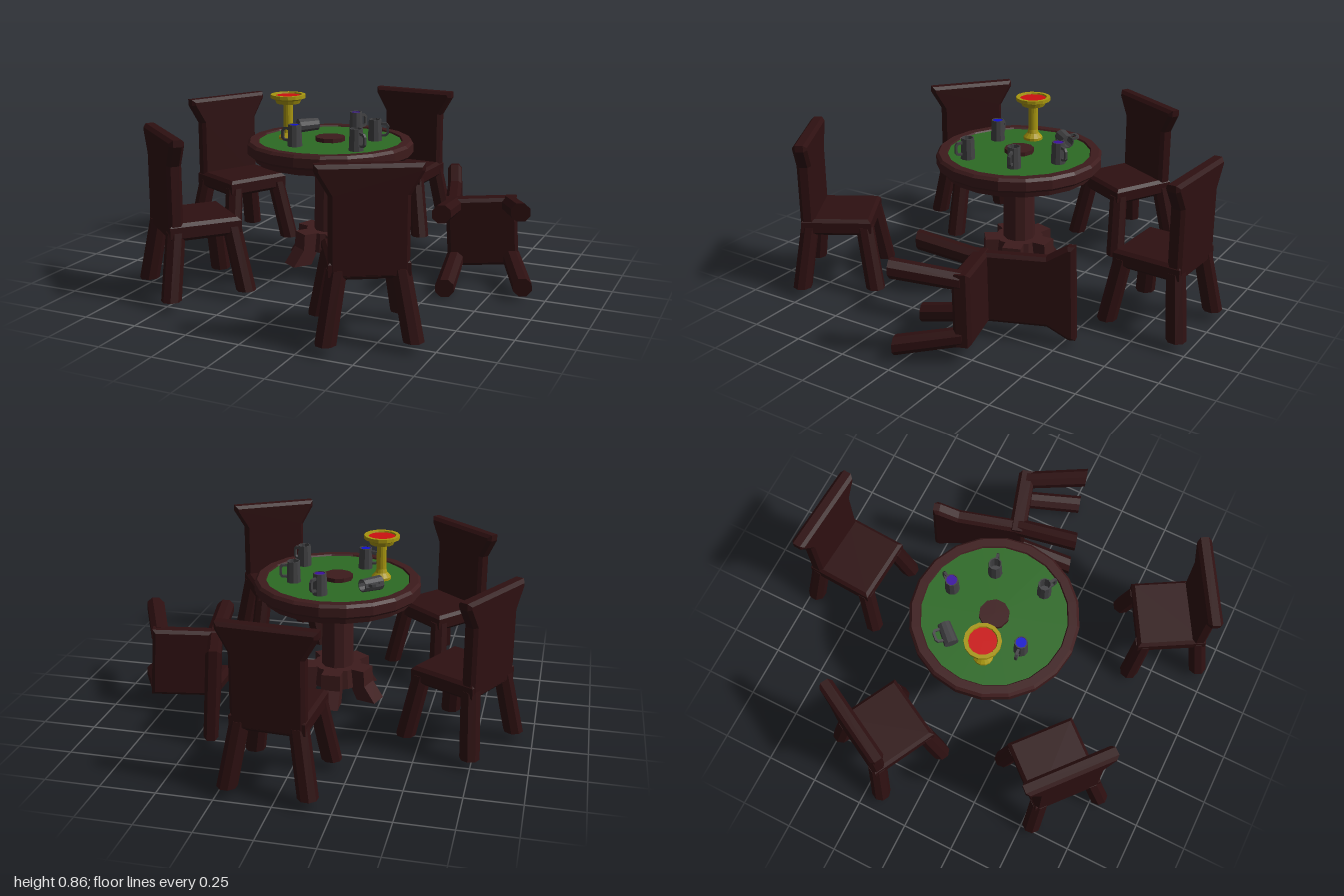
import * as THREE from 'three';

const mat = (color) => new THREE.MeshStandardMaterial({ color, flatShading: true, side: THREE.DoubleSide });
const chairWood = mat(0x2e1011), tableWood = mat(0x3d1b1c), felt = mat(0x2c6a24);
const gold = mat(0xa8960f), wine = mat(0xcc1010), pewter = mat(0x424244);
const blueDrink = mat(0x1010d0), purpleDrink = mat(0x3c10a0);

function add(parent, name, geometry, material, x = 0, y = 0, z = 0) {
  const mesh = new THREE.Mesh(geometry, material);
  mesh.name = name;
  mesh.position.set(x, y, z);
  parent.add(mesh);
  return mesh;
}

const shapeOf = (pts) => new THREE.Shape(pts.map(([x, y]) => new THREE.Vector2(x, y)));
const lathe = (pts, sides) => new THREE.LatheGeometry(pts.map(([x, y]) => new THREE.Vector2(x, y)), sides);

// Flat shape with bevelled edges, centred in depth; the bevel grows the outline by b
function slab(pts, depth, b) {
  const g = new THREE.ExtrudeGeometry(shapeOf(pts), {
    depth: depth - 2 * b, bevelEnabled: b > 0, bevelSize: b, bevelThickness: b, bevelSegments: 1,
  });
  return g.translate(0, 0, b - depth / 2);
}

// Eight-sided leg leaning from its top point to its foot point
function leg(top, foot, rTop, rFoot) {
  const h = top[1] - foot[1];
  const g = new THREE.CylinderGeometry(rTop, rFoot, h, 8);
  g.rotateY(Math.PI / 8);
  const p = g.attributes.position;
  for (let i = 0; i < p.count; i++) {
    const t = p.getY(i) / h + 0.5;
    p.setXYZ(i,
      p.getX(i) + foot[0] + (top[0] - foot[0]) * t,
      foot[1] + h * t,
      p.getZ(i) + foot[2] + (top[2] - foot[2]) * t);
  }
  return g;
}

// Chair facing +z
function chair() {
  const g = new THREE.Group();
  g.name = 'chair';
  const s = 0.148;
  const seat = slab([[-s, -s], [s, -s], [s, s], [-s, s]], 0.08, 0.015);
  seat.rotateX(-Math.PI / 2);
  add(g, 'seat', seat, chairWood, 0, 0.34, 0);
  const half = [[0.145, 0.32], [0.145, 0.64], [0.2, 0.735], [0.2, 0.747]];
  const outline = [...half, ...half.map(([x, y]) => [-x, y]).reverse()];
  add(g, 'backrest', slab(outline, 0.067, 0.015), chairWood, 0, 0, -0.132);
  for (const sx of [-1, 1]) for (const sz of [-1, 1])
    add(g, 'chairLeg', leg([sx * 0.125, 0.34, sz * 0.128], [sx * 0.175, 0.045, sz * 0.173], 0.043, 0.045), chairWood);
  return g;
}

// Mug standing on y = 0, handle toward +x
function mug(drink) {
  const g = new THREE.Group();
  g.name = 'mug';
  add(g, 'mugBody', lathe([[0, 0], [0.034, 0], [0.03, 0.1], [0.025, 0.1], [0.026, 0.02], [0, 0.02]], 10), pewter);
  if (drink) add(g, 'drink', new THREE.CylinderGeometry(0.027, 0.027, 0.006, 10), drink, 0, 0.094, 0);
  const frame = shapeOf([[0.026, 0.018], [0.056, 0.022], [0.066, 0.034], [0.066, 0.07], [0.056, 0.084], [0.026, 0.086]]);
  frame.holes.push(new THREE.Path([[0.028, 0.03], [0.028, 0.074], [0.05, 0.073], [0.055, 0.066], [0.055, 0.038], [0.05, 0.031]]
    .map(([x, y]) => new THREE.Vector2(x, y))));
  const handle = new THREE.ExtrudeGeometry(frame, { depth: 0.012, bevelEnabled: false });
  add(g, 'mugHandle', handle.translate(0, 0, -0.006), pewter);
  return g;
}

// Round pedestal table with five feet
function table() {
  const g = new THREE.Group();
  g.name = 'table';
  add(g, 'tableRim', lathe([[0.33, 0.64], [0.34, 0.655], [0.378, 0.655], [0.39, 0.642], [0.39, 0.6], [0.378, 0.588],
    [0.36, 0.584], [0.352, 0.557], [0.32, 0.557], [0.32, 0.6], [0.33, 0.64]], 20), tableWood);
  add(g, 'feltTop', new THREE.CylinderGeometry(0.336, 0.336, 0.012, 20), felt, 0, 0.642, 0);
  add(g, 'column', new THREE.CylinderGeometry(0.07, 0.078, 0.535, 10), tableWood, 0, 0.4, 0);
  add(g, 'columnCollar', new THREE.CylinderGeometry(0.092, 0.085, 0.04, 10), tableWood, 0, 0.535, 0);
  add(g, 'columnBase', new THREE.CylinderGeometry(0.115, 0.125, 0.09, 10), tableWood, 0, 0.175, 0);
  const profile = [[0, 0.22], [0.165, 0.22], [0.17, 0.145], [0.225, 0.07], [0.13, 0.07], [0.1, 0.13], [0, 0.13]];
  for (let i = 0; i < 5; i++) {
    const foot = add(g, 'tableFoot', slab(profile, 0.09, 0), tableWood);
    foot.rotation.y = (37 + 72 * i - 90) * Math.PI / 180;
  }
  return g;
}

// Goblet standing on y = 0
function goblet() {
  const g = new THREE.Group();
  g.name = 'goblet';
  add(g, 'gobletBody', lathe([[0, 0], [0.046, 0], [0.046, 0.012], [0.028, 0.032], [0.023, 0.05], [0.023, 0.165], [0.055, 0.17],
    [0.062, 0.187], [0.083, 0.196], [0.083, 0.212], [0.066, 0.212], [0.06, 0.19], [0, 0.19]], 14), gold);
  add(g, 'gobletDrink', new THREE.CylinderGeometry(0.063, 0.06, 0.01, 14), wine, 0, 0.2, 0);
  return g;
}

export function createModel() {
  const model = new THREE.Group();
  model.name = 'tavernTableSet';

  const place = (object, x, y, z, turn) => {
    object.position.set(x, y, z);
    object.rotation.y = turn;
    model.add(object);
    return object;
  };

  place(table(), -0.05, 0, 0.01, 0);

  // Standing chairs: x, z, turn
  for (const [x, z, turn] of [[0.02, -0.78, -0.06], [-0.675, -0.245, 1.08], [-0.48, 0.53, 2.43], [0.425, 0.71, -2.62]])
    place(chair(), x, 0, z, turn);

  // Toppled chair lying on its side
  const toppled = chair();
  toppled.name = 'toppledChair';
  const up = new THREE.Vector3(-0.29, 0.035, -0.957).normalize();
  const side = new THREE.Vector3().crossVectors(up, new THREE.Vector3(0.957, 0.06, -0.29)).normalize();
  const front = new THREE.Vector3().crossVectors(side, up);
  toppled.quaternion.setFromRotationMatrix(new THREE.Matrix4().makeBasis(side, up, front));
  toppled.position.set(0.743, 0.228, 0.14);
  model.add(toppled);

  // Tableware
  const topY = 0.648;
  place(goblet(), -0.247, topY, 0.053, 0);
  for (const [x, z, turn, drink] of [[-0.018, -0.22, 1.1, purpleDrink], [0.14, -0.08, 0.24, null],
    [0.15, 0.165, -0.5, null], [-0.145, 0.19, 3.2, blueDrink]])
    place(mug(drink), x, topY, z, turn);

  // Mug lying on its side
  const spilled = mug(null);
  spilled.name = 'spilledMug';
  const axis = new THREE.Vector3(0.68, 0.03, -0.73).normalize();
  const toHandle = new THREE.Vector3(-0.7, 0.2, -0.65);
  const across = new THREE.Vector3().crossVectors(toHandle, axis).normalize();
  toHandle.crossVectors(axis, across);
  spilled.quaternion.setFromRotationMatrix(new THREE.Matrix4().makeBasis(toHandle, axis, across));
  spilled.position.set(-0.268, topY + 0.033, -0.095);
  model.add(spilled);

  return model;
}
